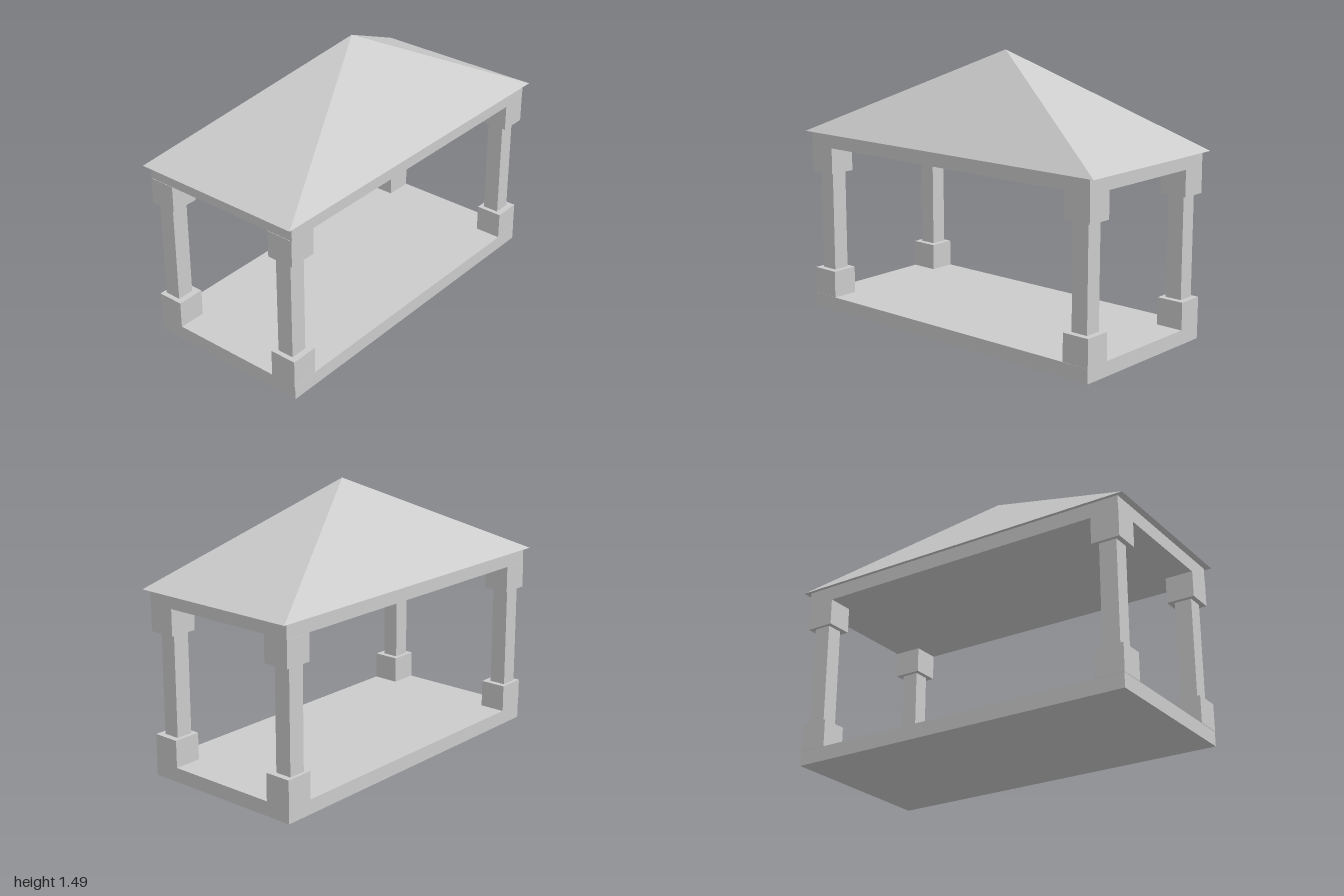
import * as THREE from 'three';

export function createModel() {
  const group = new THREE.Group();
  const material = new THREE.MeshStandardMaterial({ color: 0xcccccc, flatShading: true });

  // Box given by its lower and upper corners
  function box(name, x0, x1, y0, y1, z0, z1) {
    const mesh = new THREE.Mesh(new THREE.BoxGeometry(x1 - x0, y1 - y0, z1 - z0), material);
    mesh.position.set((x0 + x1) / 2, (y0 + y1) / 2, (z0 + z1) / 2);
    mesh.name = name;
    group.add(mesh);
  }

  // Floor and ceiling slabs
  box('floorSlab', -0.465, 0.465, 0, 0.078, -0.965, 0.965);
  box('ceilingSlab', -0.465, 0.465, 0.922, 1, -0.965, 0.965);

  // Four corner posts: square plinth, slimmer shaft and square capital
  const xSides = [
    { name: 'Right', block: [-0.466, -0.32], shaft: [-0.447, -0.355] },
    { name: 'Left', block: [0.315, 0.464], shaft: [0.338, 0.43] },
  ];
  const zSides = [
    { name: 'front', block: [0.812, 0.967], shaft: [0.845, 0.94] },
    { name: 'back', block: [-0.965, -0.812], shaft: [-0.932, -0.838] },
  ];
  for (const x of xSides) {
    for (const z of zSides) {
      const corner = z.name + x.name;
      box(corner + 'Plinth', ...x.block, 0.078, 0.226, ...z.block);
      box(corner + 'Shaft', ...x.shaft, 0.226, 0.779, ...z.shaft);
      box(corner + 'Capital', ...x.block, 0.779, 0.922, ...z.block);
    }
  }

  // Pyramid roof with its peak slightly behind the middle
  let roof = new THREE.ConeGeometry(Math.SQRT1_2, 1, 4);
  roof.rotateY(Math.PI / 4);
  roof.scale(0.968, 0.486, 2);
  roof.translate(0, 0.243 + 1, 0);
  const p = roof.attributes.position;
  for (let i = 0; i < p.count; i++) if (p.getY(i) > 1.2) p.setZ(i, -0.04);
  roof = roof.toNonIndexed();
  roof.computeVertexNormals();
  const roofMesh = new THREE.Mesh(roof, material);
  roofMesh.name = 'roof';
  group.add(roofMesh);

  return group;
}
